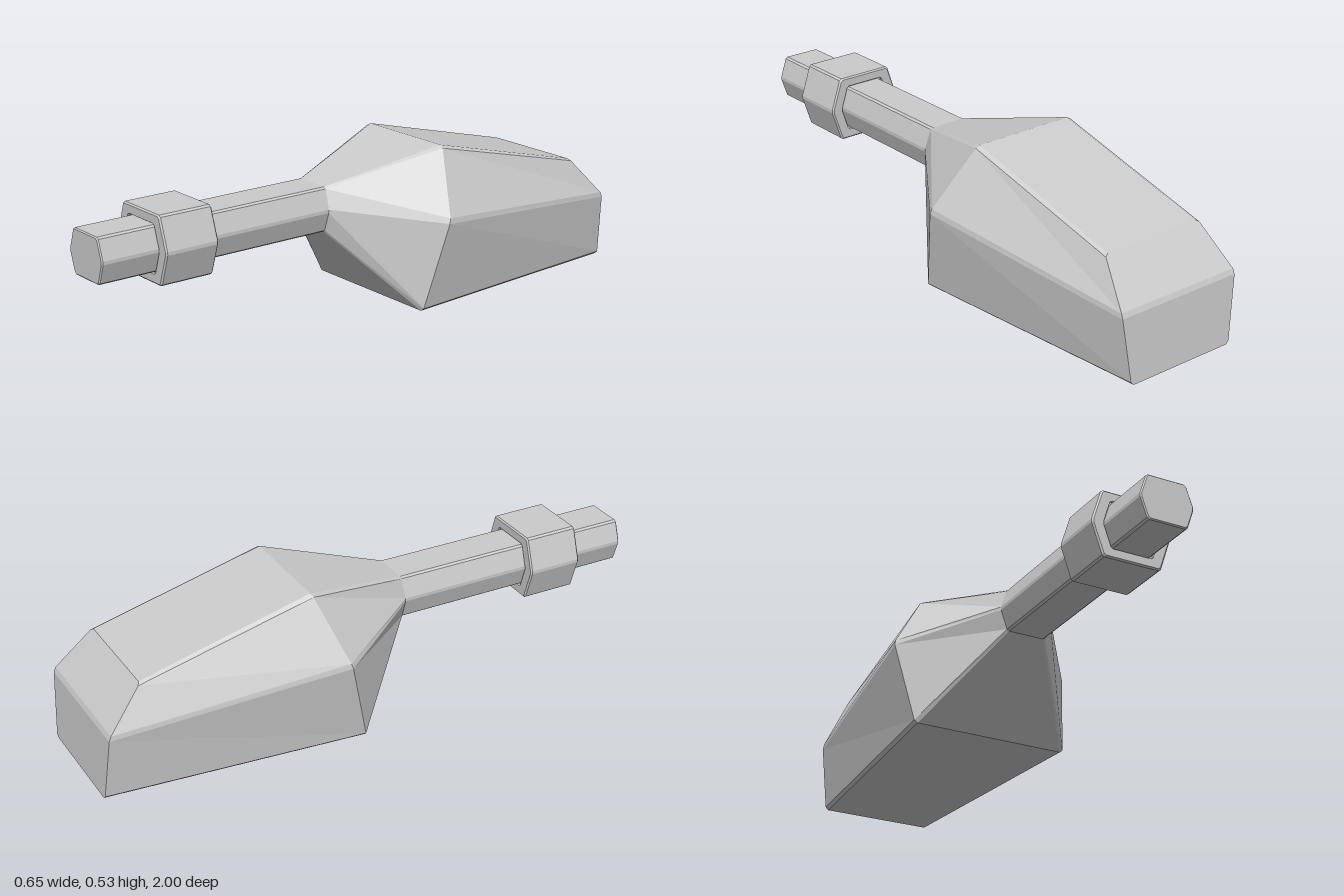
import * as THREE from 'three';

// Right half of a six-sided section: top, middle and bottom corners as [x, y, z].
// Each corner is cut by a small bevel, then the half is mirrored into a full ring.
function ring(corners, bevel) {
  const pts = corners.map((c) => new THREE.Vector3(...c));
  const mirror = (p) => new THREE.Vector3(-p.x, p.y, p.z);
  const towards = (a, b) => a.clone().add(b.clone().sub(a).setLength(bevel));
  const half = [];
  pts.forEach((p, i) => {
    half.push(towards(p, pts[i - 1] ?? mirror(p)));
    half.push(towards(p, pts[i + 1] ?? mirror(p)));
  });
  return [...half, ...half.map(mirror).reverse()];
}

// Skin a list of rings from front to back and close both ends.
function loft(rings) {
  const pos = [];
  const quad = (a, b, c, d) => [a, b, c, a, c, d].forEach((p) => pos.push(p.x, p.y, p.z));
  const n = rings[0].length;
  for (let s = 0; s < rings.length - 1; s++) {
    const a = rings[s], b = rings[s + 1];
    for (let i = 0; i < n; i++) {
      const j = (i + 1) % n;
      quad(a[i], a[j], b[j], b[i]);
    }
  }
  const f = rings[0], r = rings[rings.length - 1];
  for (let i = 0; i < n / 2 - 1; i++) {
    const k = n - 1 - i;
    quad(f[k], f[k - 1], f[i + 1], f[i]);
    quad(r[i], r[i + 1], r[k - 1], r[k]);
  }
  const geo = new THREE.BufferGeometry();
  geo.setAttribute('position', new THREE.Float32BufferAttribute(pos, 3));
  geo.computeVertexNormals();
  return geo;
}

// Upright hexagonal section centred on the shaft axis.
const AXIS_Y = 0.35;
function hex(topX, midX, halfH, z, bevel = 0.006) {
  return ring([[topX, AXIS_Y + halfH, z], [midX, AXIS_Y, z], [topX, AXIS_Y - halfH, z]], bevel);
}

export function createModel() {
  const group = new THREE.Group();
  const material = new THREE.MeshStandardMaterial({ color: 0xcccccc, flatShading: true });
  const add = (name, rings) => {
    const mesh = new THREE.Mesh(loft(rings), material);
    mesh.name = name;
    group.add(mesh);
  };

  // Shaft, with a slightly bevelled front end
  add('shaft', [
    hex(0.066, 0.091, 0.072, 1),
    hex(0.069, 0.095, 0.076, 0.996),
    hex(0.069, 0.095, 0.076, 0.12),
  ]);

  // Collar around the shaft, with a shallow recess on each face
  const hole = (z) => hex(0.073, 0.1, 0.082, z);
  const rim = (z) => hex(0.098, 0.135, 0.109, z);
  const outer = (z) => hex(0.102, 0.14, 0.114, z);
  add('collar', [
    hole(0.79), hole(0.8), rim(0.8), outer(0.795),
    outer(0.611), rim(0.606), hole(0.606), hole(0.616),
  ]);

  // Faceted body: neck, widest section, tail
  add('body', [
    ring([[0.069, 0.426, 0.135], [0.095, 0.35, 0.14], [0.069, 0.274, 0.14]], 0.006),
    ring([[0.192, 0.526, -0.26], [0.325, 0.31, -0.185], [0.278, 0, -0.11]], 0.01),
    ring([[0.192, 0.377, -0.855], [0.235, 0.235, -0.982], [0.205, 0, -1]], 0.01),
  ]);

  return group;
}
